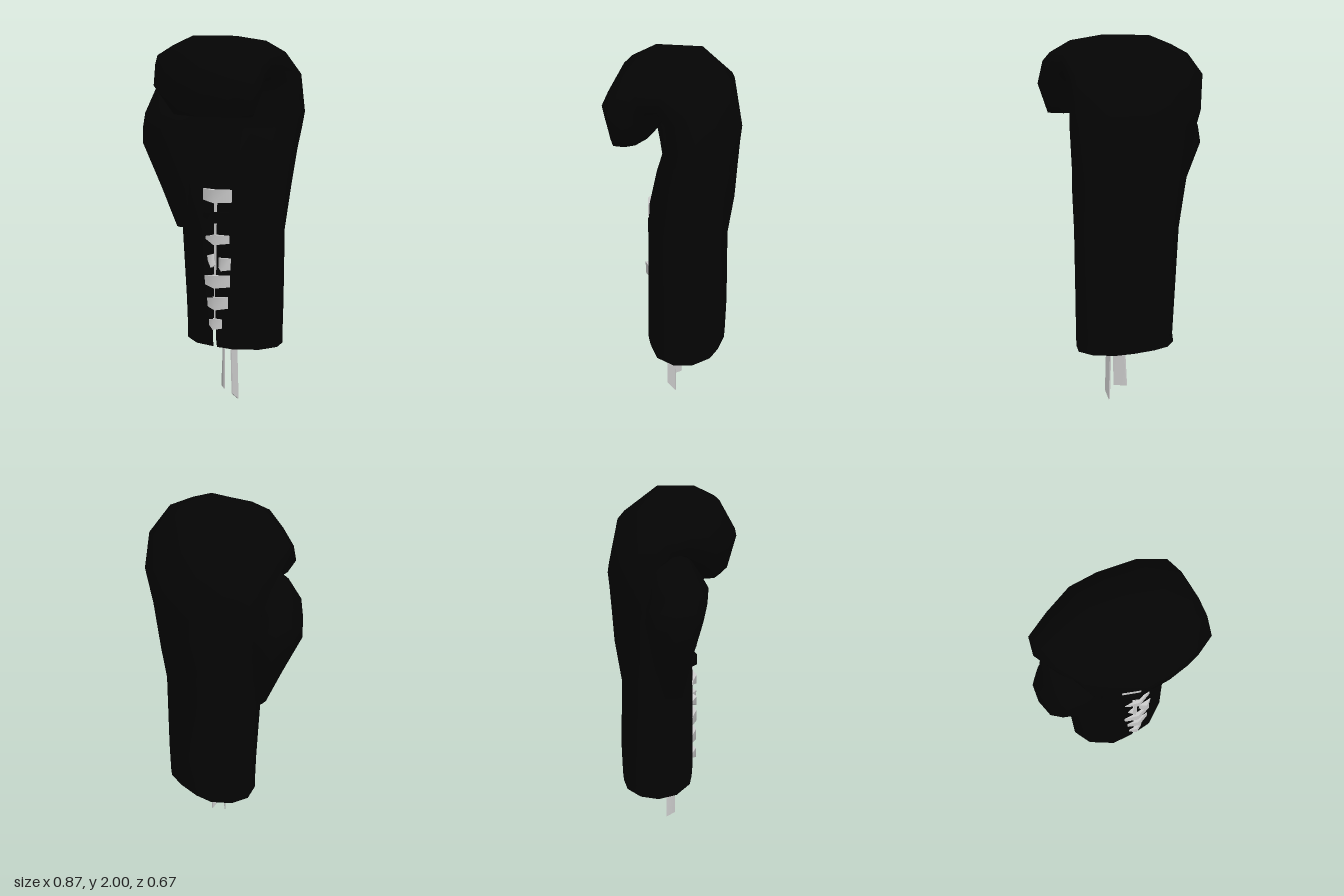
import * as THREE from 'three';
import { mergeVertices } from 'three/addons/utils/BufferGeometryUtils.js';

const leather = new THREE.MeshStandardMaterial({ color: 0x040404, side: THREE.DoubleSide });
const lace = new THREE.MeshStandardMaterial({ color: 0xcccccc, side: THREE.DoubleSide });

// Skin a list of rings (equal point counts) and close the last one with a fan.
function loft(rings, capPoint) {
  const n = rings[0].length;
  const pos = rings.flat(2);
  const index = [];
  for (let r = 0; r < rings.length - 1; r++) {
    for (let i = 0; i < n - 1; i++) {
      const a = r * n + i, c = a + n;
      index.push(a, a + 1, c, a + 1, c + 1, c);
    }
  }
  pos.push(...capPoint);
  const last = (rings.length - 1) * n;
  for (let i = 0; i < n - 1; i++) index.push(last + i, last + i + 1, rings.length * n);
  let geo = new THREE.BufferGeometry();
  geo.setAttribute('position', new THREE.Float32BufferAttribute(pos, 3));
  geo.setIndex(index);
  geo = mergeVertices(geo, 1e-4);
  geo.computeVertexNormals();
  return geo;
}

// Cross-sections from palm seam round the back: [across -1..1, depth 0 = back, 1 = palm]
const cuffShape = [[0.04, 1], [0.42, 0.98], [0.84, 0.78], [1, 0.5], [0.9, 0.24], [0.57, 0.05], [0.2, 0],
  [-0.25, 0], [-0.6, 0.06], [-0.9, 0.26], [-1, 0.52], [-0.84, 0.78], [-0.42, 0.98], [0.04, 1]];
const fistShape = [[0.04, 1], [0.42, 0.98], [0.84, 0.83], [1, 0.6], [1, 0.32], [0.65, 0.1], [0.14, 0],
  [-0.24, 0], [-0.63, 0.18], [-0.95, 0.37], [-1, 0.65], [-0.85, 0.88], [-0.45, 1], [0.04, 1]];

function gloveRing([oz, oy, iz, iy, x0, x1, gap, fist]) {
  return cuffShape.map(([cu, cv], i) => {
    const u = cu + (fistShape[i][0] - cu) * fist;
    const v = cv + (fistShape[i][1] - cv) * fist;
    const open = i === 0 ? gap : i === cuffShape.length - 1 ? -gap : 0;
    return [(x0 + x1) / 2 + (u * (x1 - x0)) / 2 + open, oy + (iy - oy) * v, oz + (iz - oz) * v];
  });
}

const soft = (v) => (Math.abs(v) < 1e-6 ? 0 : Math.sign(v) * Math.pow(Math.abs(v), 0.7));
function thumbRing([y, cx, rx, cz, rz]) {
  const ring = [], n = 12;
  for (let i = 0; i <= n; i++) {
    const t = (i / n) * Math.PI * 2;
    ring.push([cx + rx * soft(Math.sin(t)), y, cz + rz * soft(Math.cos(t))]);
  }
  return ring;
}

// Lace strip: a small box with pinched ends and a bulging middle.
function strip(w, h, pinch) {
  const g = new THREE.BoxGeometry(w, h, 0.03, 2, 1, 1);
  const p = g.attributes.position;
  for (let i = 0; i < p.count; i++) {
    const u = p.getX(i) / (w / 2);
    p.setY(i, p.getY(i) * (1 - pinch * (u > 0 ? 0.25 : 1) * Math.abs(u)) + 0.006 * u * u);
    p.setZ(i, p.getZ(i) - 0.03 * u * u);
  }
  g.computeVertexNormals();
  return g;
}

export function createModel() {
  const group = new THREE.Group();
  const add = (name, geo, mat, x = 0, y = 0, z = 0, rz = 0) => {
    const m = new THREE.Mesh(geo, mat);
    m.name = name;
    m.position.set(x, y, z);
    m.rotation.z = rz;
    group.add(m);
  };

  // Cuff, palm and curled fist: outer z, outer y, inner z, inner y, x range, seam gap, fist blend
  const body = [
    [-0.275, 0.32, 0.11, 0.32, -0.215, 0.362, 0.012, 0],
    [-0.28, 0.37, 0.12, 0.37, -0.207, 0.36, 0.01, 0],
    [-0.285, 0.55, 0.12, 0.55, -0.217, 0.363, 0.008, 0],
    [-0.275, 0.96, 0.115, 0.96, -0.25, 0.373, 0.008, 0],
    [-0.31, 1.2, 0.105, 1.2, -0.28, 0.393, 0.008, 0.3],
    [-0.322, 1.4, 0.06, 1.4, -0.31, 0.413, 0.05, 0.6],
    [-0.33, 1.52, 0.025, 1.51, -0.33, 0.428, 0, 0.8],
    [-0.337, 1.6, 0, 1.6, -0.35, 0.435, 0, 0.9],
    [-0.285, 1.85, 0.005, 1.69, -0.385, 0.43, 0, 1],
    [-0.09, 2.0, 0.025, 1.73, -0.375, 0.42, 0, 1],
    [0.13, 2.0, 0.045, 1.72, -0.335, 0.42, 0, 1],
    [0.25, 1.94, 0.055, 1.7, -0.285, 0.42, 0, 1],
    [0.337, 1.78, 0.06, 1.66, -0.25, 0.42, 0, 1],
    [0.295, 1.585, 0.09, 1.585, -0.12, 0.37, 0, 1],
  ];
  add('glove', loft(body.map(gloveRing), [0.13, 1.585, 0.2]), leather);

  // Thumb: y, centre x, radius x, centre z, radius z
  const thumb = [
    [0.95, -0.17, 0.07, 0.0, 0.06],
    [1.17, -0.2, 0.135, 0.0, 0.105],
    [1.41, -0.265, 0.172, 0.01, 0.152],
    [1.5, -0.26, 0.163, 0.02, 0.16],
    [1.58, -0.245, 0.155, 0.03, 0.155],
    [1.72, -0.25, 0.12, -0.01, 0.11],
    [1.77, -0.26, 0.07, -0.01, 0.06],
  ];
  add('thumb', loft(thumb.map(thumbRing), [-0.26, 1.78, -0.01]), leather);

  // Lace crossings: y, centre x, width, height, pinch, tilt
  const crossings = [
    [1.15, 0.095, 0.185, 0.07, 0.1, 0],
    [0.915, 0.095, 0.165, 0.055, 0.8, 0],
    [0.795, 0.065, 0.06, 0.07, 0.8, 0.35],
    [0.785, 0.145, 0.085, 0.07, 0.3, -0.05],
    [0.685, 0.095, 0.185, 0.07, 0.3, 0.05],
    [0.565, 0.1, 0.165, 0.07, 0.4, 0.08],
    [0.45, 0.09, 0.115, 0.06, 0.7, 0],
  ];
  for (const [y, x, w, h, pinch, tilt] of crossings)
    add('laceCrossing', strip(w, h, pinch), lace, x, y, 0.125, tilt);
  add('darkStrap', strip(0.18, 0.06, 0.6), leather, 0.095, 1.035, 0.125);
  add('laceCord', new THREE.BoxGeometry(0.014, 0.72, 0.012), lace, 0.09, 0.79, 0.112);

  // Loose lace ends, thin ribbons hanging out of the cuff: bottom x, bottom y, top x, slant, edge cut
  const ends = [
    [0.055, 0.06, 0.065, -1.05, 0],
    [0.138, 0.02, 0.125, 0.1, 0.8],
  ];
  for (const [bx, by, tx, slant, cut] of ends) {
    const g = new THREE.BoxGeometry(0.008, 1, 0.05);
    const p = g.attributes.position;
    for (let i = 0; i < p.count; i++) {
      const top = p.getY(i) > 0, z = p.getZ(i);
      p.setX(i, p.getX(i) + (top ? tx - slant * z * 0.6 : bx - slant * z));
      p.setY(i, top ? 0.42 : by + cut * z);
      p.setZ(i, z - 0.005);
    }
    g.computeVertexNormals();
    add('laceEnd', g, lace);
  }
  return group;
}
